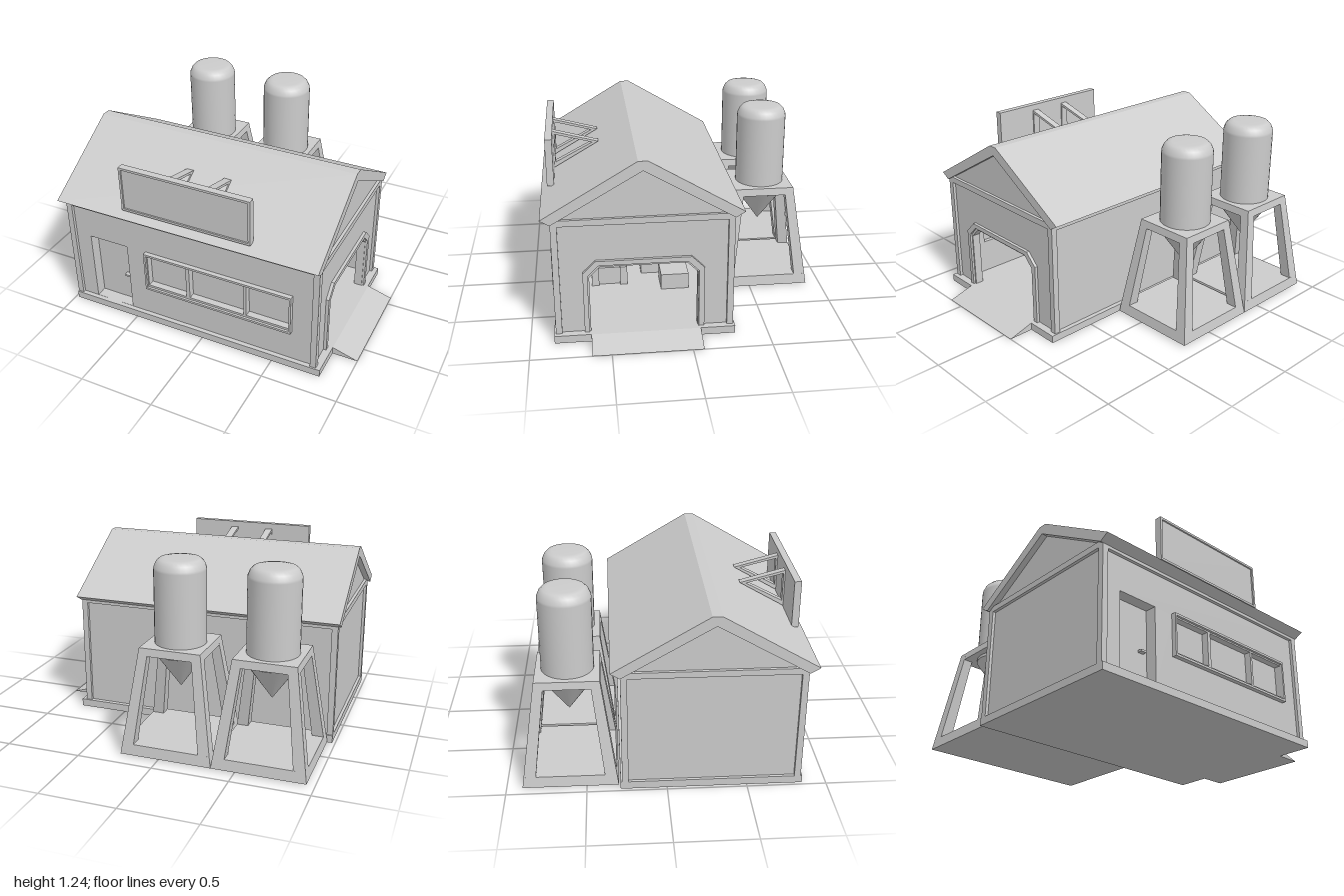
import * as THREE from 'three';

const mat = new THREE.MeshStandardMaterial({ color: 0xcccccc, side: THREE.DoubleSide });

export function createModel() {
  const root = new THREE.Group();

  const add = (name, geo, parent = root) => {
    const m = new THREE.Mesh(geo, mat);
    m.name = name;
    parent.add(m);
    return m;
  };
  // Box given by its extents
  const box = (name, x0, x1, y0, y1, z0, z1, parent) => add(name,
    new THREE.BoxGeometry(x1 - x0, y1 - y0, z1 - z0)
      .translate((x0 + x1) / 2, (y0 + y1) / 2, (z0 + z1) / 2), parent);
  const makeShape = (pts, holes) => {
    const s = new THREE.Shape(pts.map(p => new THREE.Vector2(...p)));
    s.holes = holes.map(h => new THREE.Path(h.map(p => new THREE.Vector2(...p))));
    return s;
  };
  // Outline in (x, y), extruded along z
  const slabZ = (name, pts, holes, z0, z1, parent) => add(name,
    new THREE.ExtrudeGeometry(makeShape(pts, holes), { depth: z1 - z0, bevelEnabled: false })
      .translate(0, 0, z0), parent);
  // Outline in (z, y), extruded along x
  const slabX = (name, pts, holes, x0, x1, parent) => {
    const flip = a => a.map(([z, y]) => [-z, y]);
    return add(name,
      new THREE.ExtrudeGeometry(makeShape(flip(pts), holes.map(flip)), { depth: x1 - x0, bevelEnabled: false })
        .rotateY(Math.PI / 2).translate(x0, 0, 0), parent);
  };
  const rect = (a, b, c, d) => [[a, c], [b, c], [b, d], [a, d]];
  // Box whose top and bottom rectangles [x0, x1, z0, z1] differ
  const taper = (name, y0, y1, lo, hi, parent) => {
    const g = new THREE.BoxGeometry(1, 1, 1), p = g.attributes.position;
    for (let i = 0; i < p.count; i++) {
      const r = p.getY(i) > 0 ? hi : lo;
      p.setXYZ(i, p.getX(i) > 0 ? r[1] : r[0], p.getY(i) > 0 ? y1 : y0, p.getZ(i) > 0 ? r[3] : r[2]);
    }
    g.computeVertexNormals();
    return add(name, g, parent);
  };

  // Foundation and ramp
  box('foundation', -0.98, 0.83, 0, 0.05, -0.29, 0.85);
  slabZ('ramp', [[0.83, 0], [1, 0], [0.83, 0.05]], [], -0.07, 0.62);

  // Corner posts and top beams
  for (const x of [-0.98, 0.76])
    for (const z of [-0.28, 0.8]) box('cornerPost', x, x + 0.04, 0.05, 0.78, z, z + 0.04);
  for (const z of [-0.28, 0.8]) box('longBeam', -0.98, 0.8, 0.775, 0.82, z, z + 0.04);
  for (const x of [-0.98, 0.76]) box('endBeam', x, x + 0.04, 0.78, 0.82, -0.28, 0.84);

  // Long walls
  const panes = [[-0.39, -0.11], [-0.085, 0.3], [0.318, 0.612]].map(([a, b]) => rect(a, b, 0.3, 0.53));
  slabZ('frontWall', rect(-0.96, 0.78, 0.05, 0.8),
    [rect(-0.83, -0.55, 0.051, 0.55), rect(-0.4, 0.615, 0.28, 0.545)], 0.74, 0.82);
  box('backWall', -0.96, 0.78, 0.05, 0.8, -0.26, -0.22);

  // End walls, the garage one with a chamfered opening
  const arch = (z0, z1, top, cut, bottom = 0.05) =>
    [[z0, bottom], [z0, top - cut], [z0 + cut, top], [z1 - cut, top], [z1, top - cut], [z1, bottom]];
  slabX('leftEndWall', rect(-0.26, 0.82, 0.05, 0.8), [], -0.96, -0.92);
  slabX('garageWall', [[-0.26, 0.05], [-0.06, 0.05], [-0.06, 0.44], [0.01, 0.51], [0.56, 0.51],
    [0.63, 0.44], [0.63, 0.05], [0.82, 0.05], [0.82, 0.8], [-0.26, 0.8]], [], 0.74, 0.78);
  const archFrame = (name, o, i, x0, x1) => slabX(name, [...o, ...[...i].reverse()], [], x0, x1);
  archFrame('garageFrame', arch(-0.095, 0.66, 0.54, 0.08), arch(-0.06, 0.63, 0.51, 0.07), 0.74, 0.8);
  archFrame('garageInnerTrim', arch(-0.07, 0.64, 0.515, 0.072), arch(-0.055, 0.62, 0.495, 0.068), 0.73, 0.785);

  // Gables and roof
  for (const x of [-0.96, 0.74])
    slabX('gable', [[-0.28, 0.8], [0.84, 0.8], [0.28, 1.13]], [], x, x + 0.04);
  slabX('roof', [[0.9, 0.83], [0.31, 1.18], [0.25, 1.18], [-0.34, 0.83], [-0.28, 0.795],
    [0.28, 1.12], [0.84, 0.795]], [], -1, 0.81);

  // Door
  box('door', -0.83, -0.55, 0.05, 0.55, 0.72, 0.745);
  box('doorHandle', -0.62, -0.58, 0.255, 0.268, 0.745, 0.775);

  // Three-part window
  slabZ('windowRim', rect(-0.41, 0.625, 0.27, 0.555), [rect(-0.397, 0.612, 0.285, 0.54)], 0.8, 0.85);
  slabZ('windowBars', rect(-0.405, 0.62, 0.28, 0.545), panes, 0.78, 0.835);
  box('windowGlass', -0.4, 0.615, 0.28, 0.545, 0.77, 0.79);

  // Sign board with raised rim and roof brackets
  box('signBoard', -0.525, 0.355, 0.875, 1.175, 0.815, 0.85);
  slabZ('signRim', rect(-0.53, 0.36, 0.87, 1.18), [rect(-0.515, 0.345, 0.885, 1.165)], 0.815, 0.86);
  for (const x of [-0.245, 0.02])
    slabX('signBracket', [[0.82, 1.14], [0.52, 1.06], [0.82, 0.885]],
      [[[0.805, 1.118], [0.56, 1.055], [0.805, 0.925]]], x, x + 0.05);

  // Furnishings inside the garage
  box('counter', -0.92, -0.65, 0.05, 0.25, -0.22, 0.72);
  for (const z of [0.355, 0.55]) box('benchSide', -0.2, 0.2, 0.05, 0.185, z, z + 0.05);
  box('benchSeat', -0.18, 0.18, 0.05, 0.175, 0.405, 0.55);
  box('crate', 0.1, 0.3, 0.05, 0.16, -0.06, 0.13);
  box('crate', -0.2, 0.05, 0.05, 0.16, 0.06, 0.25);
  box('crate', -0.2, 0.02, 0.16, 0.25, 0.03, 0.19);
  box('crate', -0.45, -0.25, 0.05, 0.25, -0.06, 0.08);

  // Two storage tanks on tapered stands
  const sq = h => [-h, h, -h, h];
  const lathe = (name, pts, parent) =>
    add(name, new THREE.LatheGeometry(pts.map(p => new THREE.Vector2(...p)), 32), parent);
  for (const x of [-0.65, -0.05]) {
    const tower = new THREE.Group();
    tower.name = 'tankTower';
    tower.position.set(x, 0, -0.6);
    taper('standBase', 0.01, 0.08, sq(0.3), sq(0.29), tower);
    taper('standTop', 0.65, 0.7, sq(0.207), sq(0.2), tower);
    for (const sx of [-1, 1])
      for (const sz of [-1, 1]) {
        const corner = (i, o) => [
          ...(sx > 0 ? [i, o] : [-o, -i]), ...(sz > 0 ? [i, o] : [-o, -i])];
        taper('standLeg', 0.01, 0.7, corner(0.223, 0.3), corner(0.139, 0.2), tower);
      }
    lathe('tankBody', [[0.165, 0.63], [0.165, 1.17], [0.163, 1.185], [0.15, 1.215],
      [0.13, 1.235], [0.1, 1.24], [0, 1.24]], tower);
    lathe('tankHopper', [[0, 0.4], [0.165, 0.63]], tower);
    root.add(tower);
  }
  return root;
}
